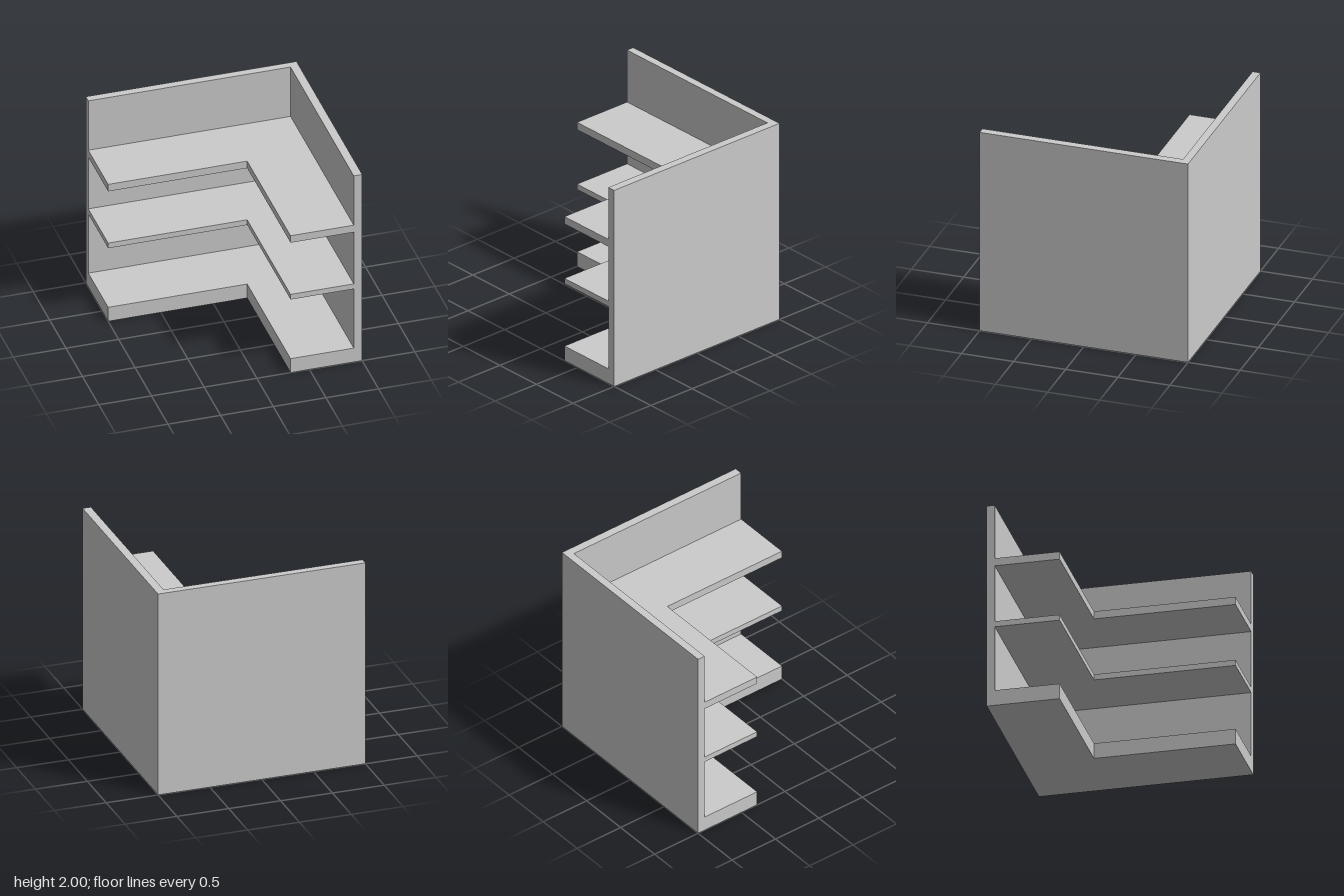
import * as THREE from 'three';

const WALL_X = 0.92, WALL_Z = -0.925; // inner faces of the two walls

// L-shaped slab: outer corner (ox, oz), inner corner (ix, iz), from y0 up to y1
function lSlab(name, ox, oz, ix, iz, y0, y1, material) {
  const plan = [[-1, oz], [-1, iz], [ix, iz], [ix, 1], [ox, 1], [ox, oz]];
  const shape = new THREE.Shape(plan.map(([x, z]) => new THREE.Vector2(x, -z)));
  const geometry = new THREE.ExtrudeGeometry(shape, { depth: y1 - y0, bevelEnabled: false });
  geometry.rotateX(-Math.PI / 2).translate(0, y0, 0);
  const mesh = new THREE.Mesh(geometry, material);
  mesh.name = name;
  return mesh;
}

export function createModel() {
  const group = new THREE.Group();
  group.name = 'cornerShelf';
  const material = new THREE.MeshStandardMaterial({ color: 0xcccccc });

  // Back and side wall meeting at the corner
  group.add(lSlab('cornerWalls', 1, -1, WALL_X, WALL_Z, 0, 2, material));

  // Thick base and two shelves that follow the walls
  const shelves = [
    ['baseShelf', 0, 0.15],
    ['middleShelf', 0.785, 0.84],
    ['upperShelf', 1.395, 1.47],
  ];
  for (const [name, y0, y1] of shelves) {
    group.add(lSlab(name, WALL_X, WALL_Z, 0.32, -0.32, y0, y1, material));
  }
  return group;
}
